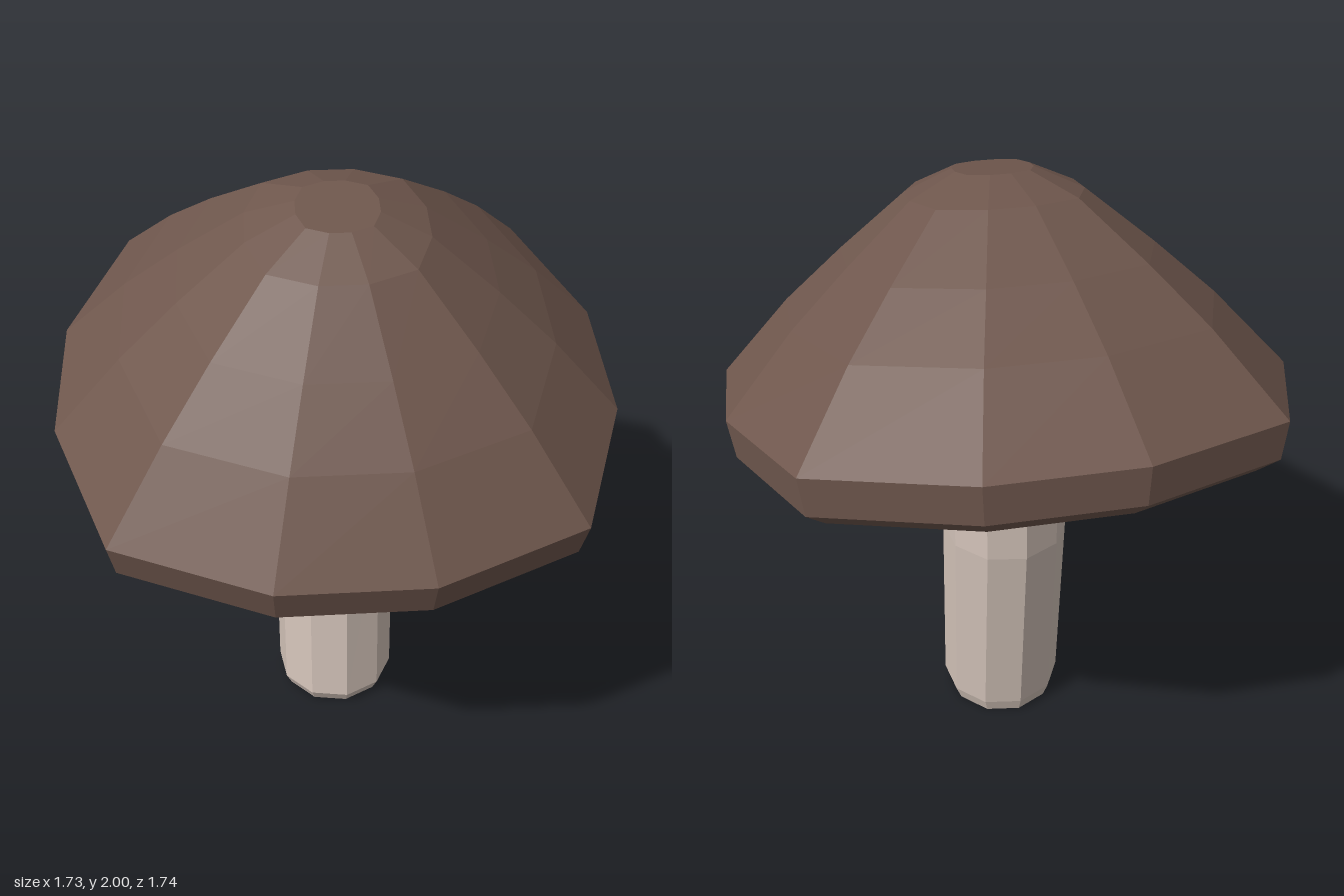
import * as THREE from 'three';

// Skin a stack of rings, bottom to top. Ring: [centre y, centre z, size, slope]
function loft(outline, rings, closeBottom, closeTop) {
  const pos = [];
  const pts = rings.map(([y, z, r, slope]) => outline.map(([u, v]) =>
    [u * r, y - slope * v * r, z + v * r]));
  const n = outline.length;
  const tri = (a, b, c) => pos.push(...a, ...b, ...c);
  for (let i = 0; i < pts.length - 1; i++) {
    for (let j = 0; j < n; j++) {
      const k = (j + 1) % n;
      tri(pts[i][j], pts[i + 1][j], pts[i][k]);
      tri(pts[i][k], pts[i + 1][j], pts[i + 1][k]);
    }
  }
  const centre = (i) => [0, rings[i][0], rings[i][1]];
  const last = pts.length - 1;
  for (let j = 0; j < n; j++) {
    const k = (j + 1) % n;
    if (closeBottom) tri(centre(0), pts[0][j], pts[0][k]);
    if (closeTop) tri(centre(last), pts[last][k], pts[last][j]);
  }
  const geo = new THREE.BufferGeometry();
  geo.setAttribute('position', new THREE.Float32BufferAttribute(pos, 3));
  geo.computeVertexNormals();
  return geo;
}

function part(name, geo, color) {
  const mesh = new THREE.Mesh(geo, new THREE.MeshStandardMaterial({ color, flatShading: true }));
  mesh.name = name;
  return mesh;
}

export function createModel() {
  const group = new THREE.Group();
  group.name = 'mushroom';

  // Twelve-sided, slightly squared outline of the cap: one quarter turned four times
  const capOutline = [];
  for (let q = 0; q < 4; q++) {
    for (const [u, v] of [[1, 0.26], [0.79, 0.79], [0.26, 1]]) {
      const c = Math.round(Math.cos(q * Math.PI / 2)), s = Math.round(Math.sin(q * Math.PI / 2));
      capOutline.push([u * c - v * s, u * s + v * c]);
    }
  }

  // Tilted cap, leaning forward
  const tilt = 0.186;
  const capRings = [
    [1.19, -0.03, 0.785, tilt],
    [1.24, -0.02, 0.85, tilt],
    [1.36, 0, 0.867, tilt],
    [1.59, 0.045, 0.65, tilt],
    [1.75, 0.07, 0.47, tilt],
    [1.915, 0.1025, 0.266, tilt],
    [1.98, 0.12, 0.12, tilt],
  ];
  group.add(part('cap', loft(capOutline, capRings, false, true), 0x6f574d));

  // Flat underside of the cap
  group.add(part('capUnderside', loft(capOutline, [capRings[0]], true, false), 0xd6d0c6));

  // Ten-sided curved stem with a chamfered foot
  const stemOutline = Array.from({ length: 10 }, (_, i) => {
    const a = (i + 0.25) * Math.PI / 5;
    return [Math.cos(a), Math.sin(a)];
  });
  const stemRings = [
    [0, -0.005, 0.19, 0],
    [0.05, 0, 0.21, 0],
    [0.78, -0.064, 0.21, -0.03],
    [0.95, -0.058, 0.21, 0.08],
    [1.28, -0.01, 0.21, tilt],
  ];
  group.add(part('stem', loft(stemOutline, stemRings, true, true), 0xd3c3b9));

  return group;
}
